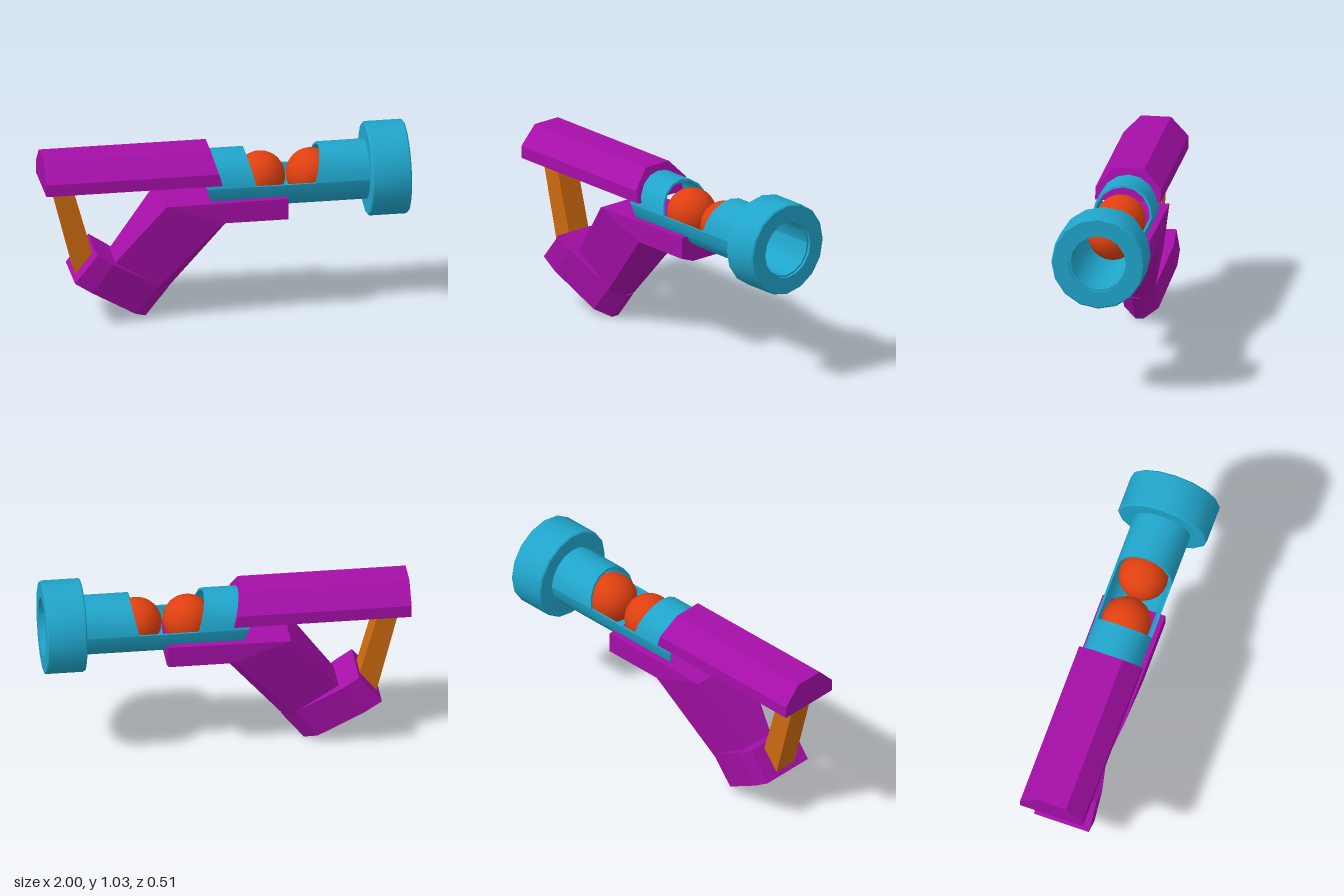
import * as THREE from 'three';
import { toCreasedNormals } from 'three/addons/utils/BufferGeometryUtils.js';

const AXIS = 0.775; // height of the barrel axis
const SIDES = 16;

const colours = { purple: 0xa50fa8, blue: 0x20a5cb, red: 0xdf4010, orange: 0xcc6a10 };
const mats = {};
for (const key in colours) mats[key] = new THREE.MeshStandardMaterial({ color: colours[key] });

// Completes a half cross-section [x, y, z] with its mirror image in z
const mirrored = (half) => [...half, ...half.map(([x, y, z]) => [x, y, -z]).reverse()];

// Skins a row of equal-sized cross-sections and caps both ends
function loft(sections, crease = 0.1) {
  const pos = [];
  const tri = (a, b, c) => pos.push(...a, ...b, ...c);
  const n = sections[0].length;
  for (let k = 0; k < sections.length - 1; k++) {
    const a = sections[k], b = sections[k + 1];
    for (let i = 0; i < n; i++) {
      const j = (i + 1) % n;
      tri(a[i], b[i], b[j]);
      tri(a[i], b[j], a[j]);
    }
  }
  const first = sections[0], last = sections[sections.length - 1];
  for (let i = 1; i < n - 1; i++) {
    tri(first[0], first[i], first[i + 1]);
    tri(last[0], last[i + 1], last[i]);
  }
  const g = new THREE.BufferGeometry();
  g.setAttribute('position', new THREE.Float32BufferAttribute(pos, 3));
  return toCreasedNormals(g, crease);
}

// Part of the tube wall between two angles, its ends cut by slanted planes x(y)
function tubeWall(a0, a1, startX, endX) {
  const steps = Math.round((SIDES * (a1 - a0)) / (2 * Math.PI));
  const sections = [];
  for (let i = 0; i <= steps; i++) {
    const a = a0 + ((a1 - a0) * i) / steps;
    const point = (r, cut) => {
      const y = AXIS + r * Math.sin(a);
      return [cut(y), y, r * Math.cos(a)];
    };
    sections.push([point(0.164, endX), point(0.164, startX), point(0.152, startX), point(0.152, endX)]);
  }
  return loft(sections, 0.6);
}

export function createModel() {
  const model = new THREE.Group();
  const add = (name, geometry, mat, parent = model) => {
    const mesh = new THREE.Mesh(geometry, mat);
    mesh.name = name;
    parent.add(mesh);
    return mesh;
  };

  // Barrel: full lower half, upper half split by the loading window
  const barrel = new THREE.Group();
  barrel.name = 'barrel';
  model.add(barrel);
  const rear = (y) => -0.12 + (0.8 - y) * 0.29;
  const windowRear = (y) => 0.115 + (0.938 - y) * 0.28;
  const windowFront = (y) => 0.485 + (y - AXIS) * 0.25;
  const front = () => 0.985;
  add('barrelLower', tubeWall(Math.PI, 2 * Math.PI, rear, front), mats.blue, barrel);
  add('barrelUpperRear', tubeWall(0, Math.PI, rear, windowRear), mats.blue, barrel);
  add('barrelUpperFront', tubeWall(0, Math.PI, windowFront, front), mats.blue, barrel);

  // Muzzle collar
  const collar = [[0.162, 0], [0.25, 0], [0.257, 0.007], [0.257, 0.211], [0.25, 0.218], [0.162, 0.218], [0.162, 0]]
    .map(([r, x]) => new THREE.Vector2(r, x));
  const muzzle = add('muzzleCollar', toCreasedNormals(new THREE.LatheGeometry(collar, SIDES), 0.6), mats.blue);
  muzzle.rotation.z = -Math.PI / 2;
  muzzle.position.set(0.782, AXIS, 0);

  // Balls in the barrel
  [0.205, 0.482].forEach((x, i) => {
    add('ball' + (i + 1), new THREE.SphereGeometry(0.136, 20, 14), mats.red).position.set(x, AXIS - 0.002, 0);
  });

  // Upper housing: half octagon with a raked front end
  const housing = (cut) => mirrored(
    [[0.8, 0.18], [0.868, 0.18], [0.972, 0.083]].map(([y, z]) => [cut(y), y, z]));
  add('upperHousing', loft([housing(() => -1), housing((y) => -0.03 - (y - 0.8) * 0.3)]), mats.purple);

  // Grip: leg bending into the cradle under the barrel
  add('grip', loft([
    [[-0.315, 0.155, 0.03], [-0.38, 0.185, 0.093], [-0.625, 0.335, 0.1]],
    [[0, 0.55, 0.1], [-0.025, 0.58, 0.18], [-0.34, 0.695, 0.18]],
    [[0.33, 0.55, 0.1], [0.33, 0.58, 0.18], [0.33, 0.7, 0.18]],
  ].map(mirrored)), mats.purple);

  // Foot plate: pointed outline, tilted with the leg
  const foot = (lift) => mirrored(
    [[0, 0.022], [0.08, 0.095], [0.38, 0.158], [0.49, 0.158]].map(([t, z]) =>
      [-0.43 - 0.835 * t + 0.62 * lift, 0.55 * t + 0.78 * lift, z]));
  add('footPlate', loft([foot(0), foot(0.2)]), mats.purple);

  // Rear strut between foot and housing
  const strutShape = new THREE.Shape(
    [[-0.815, 0.265], [-0.71, 0.335], [-0.845, 0.82], [-0.955, 0.82]].map(([x, y]) => new THREE.Vector2(x, y)));
  const strut = new THREE.ExtrudeGeometry(strutShape, { depth: 0.14, bevelEnabled: false });
  strut.translate(0, 0, -0.07);
  add('rearStrut', strut, mats.orange);

  return model;
}
